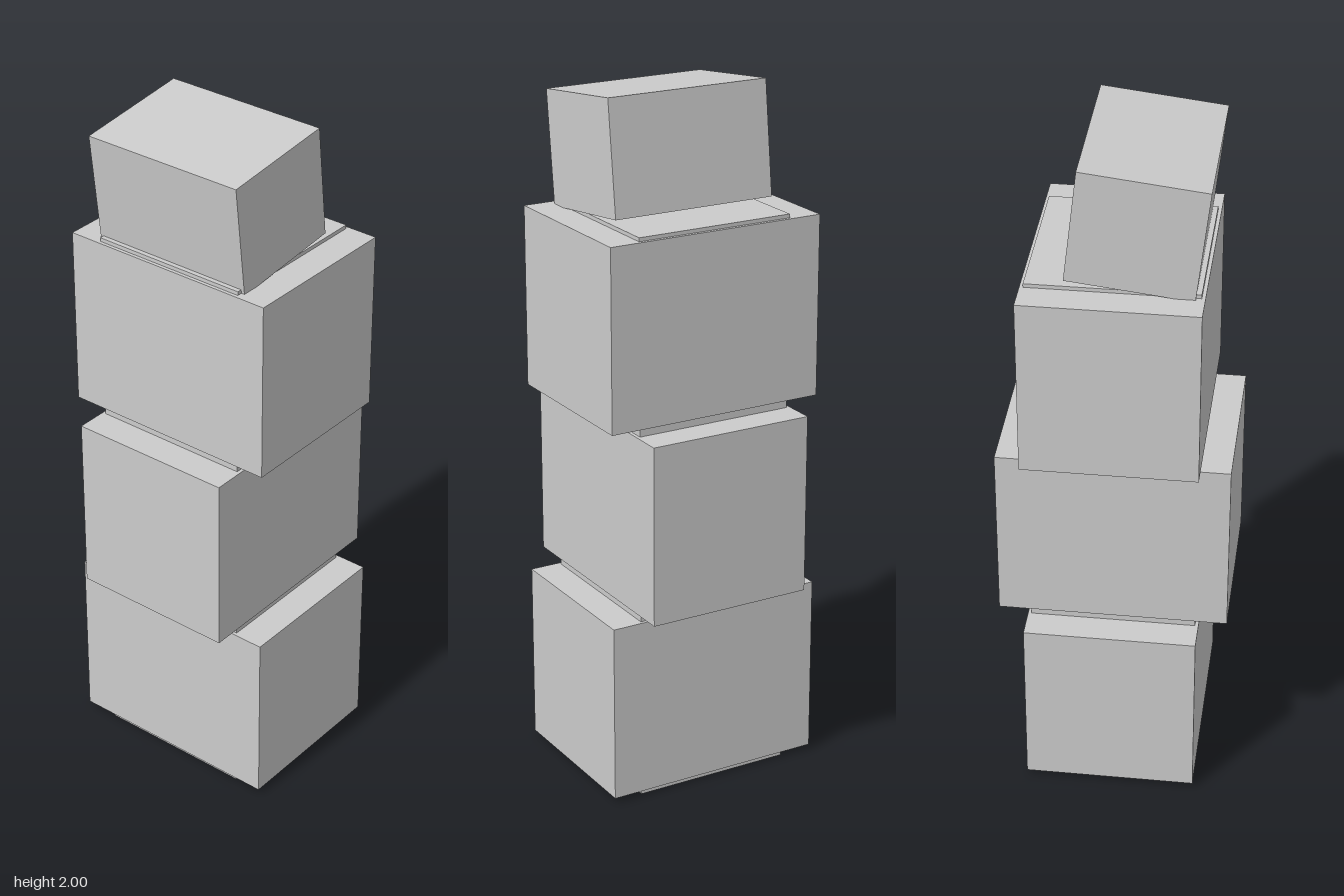
import * as THREE from 'three';

export function createModel() {
  const model = new THREE.Group();
  const material = new THREE.MeshStandardMaterial({ color: 0xcccccc, flatShading: true });

  function addBox(name, width, height, depth, y, z = 0) {
    const mesh = new THREE.Mesh(new THREE.BoxGeometry(width, height, depth), material);
    mesh.name = name;
    mesh.position.set(0, y, z);
    model.add(mesh);
    return mesh;
  }

  // Inner column, visible in the gaps between blocks
  const coreHeight = 1.652;
  addBox('core', 0.474, coreHeight, 0.474, coreHeight / 2);

  // Three stacked blocks, the long side alternating between x and z
  const long = 0.658, short = 0.494, blockHeight = 0.526, step = 0.55;
  ['lowerBlock', 'middleBlock', 'upperBlock'].forEach((name, i) => {
    const alongX = i % 2 === 0;
    addBox(name, alongX ? long : short, blockHeight, alongX ? short : long,
      0.015 + blockHeight / 2 + i * step);
  });

  // Top block, tipped towards the front
  const topBlock = addBox('tiltedTopBlock', short, 0.327, 0.352, 1.8175, 0.065);
  topBlock.rotation.x = 0.115;

  return model;
}
